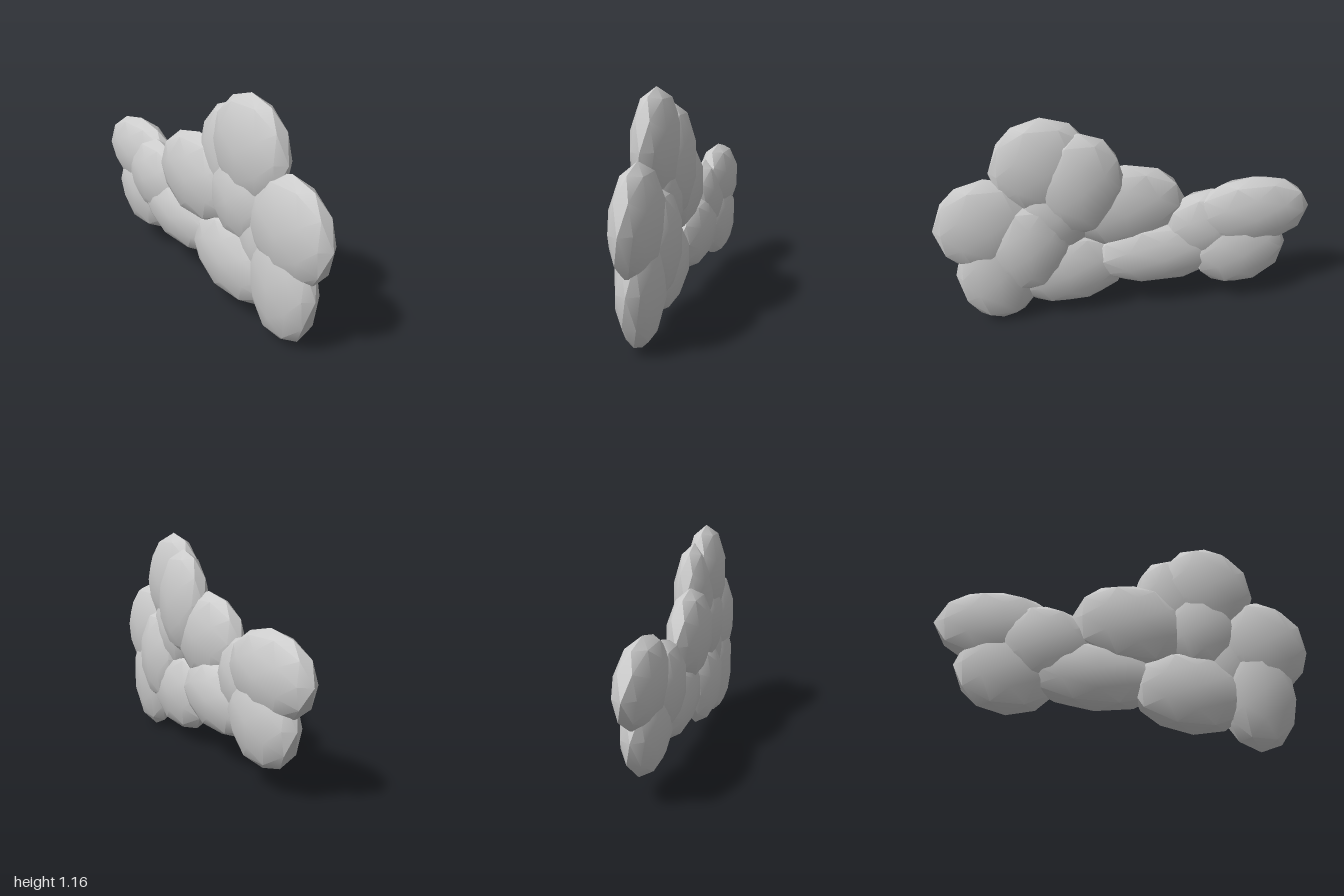
import * as THREE from 'three';
import { toCreasedNormals } from 'three/addons/utils/BufferGeometryUtils.js';

// Flattened low-poly foliage puff, all sharing one thickness
function puff(name, [x, y, z], ry, rz) {
  const geometry = new THREE.IcosahedronGeometry(1, 1);
  geometry.rotateY(Math.PI / 2);
  geometry.scale(0.105, ry, rz);
  const mesh = new THREE.Mesh(
    toCreasedNormals(geometry, 0.52),
    new THREE.MeshStandardMaterial({ color: 0xcccccc })
  );
  mesh.name = name;
  mesh.position.set(x, y, z);
  return mesh;
}

export function createModel() {
  const group = new THREE.Group();
  group.name = 'puffCluster';

  // name, centre, half height, half length
  const puffs = [
    // tall front clump
    ['crownFrontPuff', [-0.03, 0.89, 0.425], 0.275, 0.27],
    ['crownBackPuff', [0, 0.79, 0.245], 0.29, 0.235],
    ['frontPuff', [-0.03, 0.59, 0.72], 0.272, 0.28],
    ['frontLowerPuff', [-0.03, 0.31, 0.685], 0.308, 0.225],
    ['frontInnerPuff', [0, 0.46, 0.52], 0.275, 0.22],
    ['corePuff', [-0.03, 0.64, 0.37], 0.24, 0.23],
    ['bottomPuff', [-0.03, 0.29, 0.32], 0.225, 0.33],
    // middle bridge
    ['middleUpperPuff', [-0.03, 0.63, 0.01], 0.24, 0.335],
    ['middleLowerPuff', [0, 0.345, -0.185], 0.19, 0.38],
    ['middleBackPuff', [0, 0.48, -0.45], 0.22, 0.26],
    // low tail at the back
    ['tailUpperPuff', [0.03, 0.555, -0.67], 0.21, 0.33],
    ['tailLowerPuff', [0.03, 0.34, -0.615], 0.235, 0.27],
  ];
  for (const p of puffs) group.add(puff(...p));
  return group;
}
